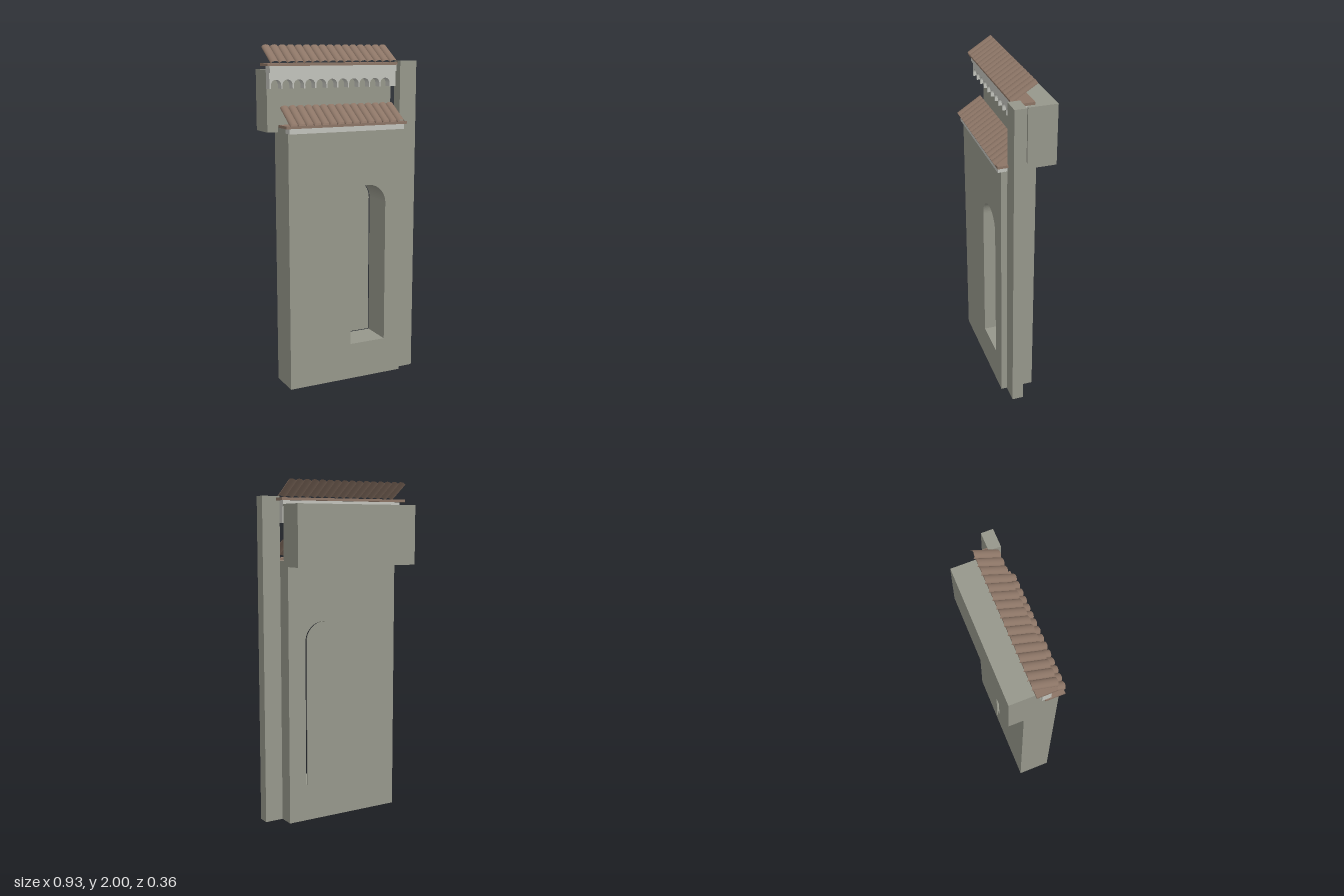
import * as THREE from 'three';

export function createModel() {
  const root = new THREE.Group();
  root.name = 'tiledGateWall';

  const mat = (name, color, side = THREE.FrontSide) => {
    const m = new THREE.MeshStandardMaterial({ color, side });
    m.name = name;
    return m;
  };
  const stone = mat('greyStone', 0x96978b);
  const plaster = mat('palePlaster', 0xc2c3bc);
  const clay = mat('clayTile', 0x8c7566, THREE.DoubleSide);

  const add = (name, geometry, material, parent = root) => {
    const mesh = new THREE.Mesh(geometry, material);
    mesh.name = name;
    parent.add(mesh);
    return mesh;
  };
  // Box given by its extents on each axis
  const box = (name, material, [x0, x1], [y0, y1], [z0, z1]) =>
    add(name, new THREE.BoxGeometry(x1 - x0, y1 - y0, z1 - z0), material)
      .position.set((x0 + x1) / 2, (y0 + y1) / 2, (z0 + z1) / 2);
  const extrude = (shape, z0, z1) =>
    new THREE.ExtrudeGeometry(shape, { depth: z1 - z0, bevelEnabled: false, curveSegments: 16 })
      .translate(0, 0, z0);
  // Round-headed outline shared by the opening and its shutter
  const arch = (path) => {
    const cx = 0.13, r = 0.115, spring = 1.073;
    path.moveTo(cx - r, 0.22);
    path.lineTo(cx + r, 0.22);
    path.lineTo(cx + r, spring);
    path.absarc(cx, spring, r, 0, Math.PI, false);
    path.closePath();
    return path;
  };

  // Main wall with the arched opening
  const wall = new THREE.Shape();
  wall.moveTo(-0.378, 0);
  wall.lineTo(0.355, 0);
  wall.lineTo(0.355, 1.54);
  wall.lineTo(-0.378, 1.54);
  wall.closePath();
  wall.holes.push(arch(new THREE.Path()));
  add('mainWall', extrude(wall, -0.06, 0.138), stone);
  add('archShutter', extrude(arch(new THREE.Shape()), -0.076, -0.07), stone);

  // Side pilaster and the block behind the upper storey
  box('pilaster', stone, [0.355, 0.465], [0, 1.905], [0.035, 0.103]);
  box('upperBlock', stone, [-0.443, 0.355], [1.508, 1.86], [-0.178, -0.01]);

  // Plaster cornices and the boards that carry the tiles
  box('lowerCornice', plaster, [-0.378, 0.355], [1.51, 1.54], [0.1, 0.156]);
  box('lowerEaveBoard', clay, [-0.398, 0.373], [1.54, 1.555], [0.05, 0.163]);
  box('upperCornice', plaster, [-0.45, 0.355], [1.845, 1.882], [-0.005, 0.06]);
  box('upperEaveBoard', clay, [-0.468, 0.378], [1.881, 1.896], [-0.04, 0.073]);

  // Scalloped frieze below the upper cornice
  const frieze = new THREE.Shape();
  const bottom = 1.755, spring = 1.775, r = 0.031, pitch = 0.0694;
  frieze.moveTo(-0.45, 1.845);
  frieze.lineTo(-0.45, bottom);
  for (let i = 0; i < 11; i++) {
    const cx = -0.41 + i * pitch;
    frieze.lineTo(cx - r, bottom);
    frieze.lineTo(cx - r, spring);
    frieze.absarc(cx, spring, r, Math.PI, 0, true);
    frieze.lineTo(cx + r, bottom);
  }
  frieze.lineTo(0.355, bottom);
  frieze.lineTo(0.355, 1.845);
  frieze.closePath();
  add('scallopedFrieze', extrude(frieze, 0, 0.05), plaster);

  // Row of half-round tiles running from the eave up to the back edge
  const tileRow = (name, count, x0, x1, [zFront, yFront], [zBack, yBack]) => {
    const row = new THREE.Group();
    row.name = name;
    root.add(row);
    const width = (x1 - x0) / count, rise = yBack - yFront, run = zFront - zBack;
    const tile = new THREE.CylinderGeometry(
      width / 2, width / 2, Math.hypot(rise, run), 12, 1, true, -Math.PI / 2, Math.PI);
    tile.scale(1, 1, 0.018 / (width / 2));
    tile.rotateX(Math.atan2(rise, run) - Math.PI / 2);
    for (let i = 0; i < count; i++) {
      add('roofTile', tile, clay, row)
        .position.set(x0 + (i + 0.5) * width, (yFront + yBack) / 2, (zFront + zBack) / 2);
    }
  };
  tileRow('upperTiles', 16, -0.45, 0.35, [0.077, 1.894], [-0.065, 1.984]);
  tileRow('lowerTiles', 15, -0.378, 0.35, [0.169, 1.553], [0.025, 1.647]);

  return root;
}
